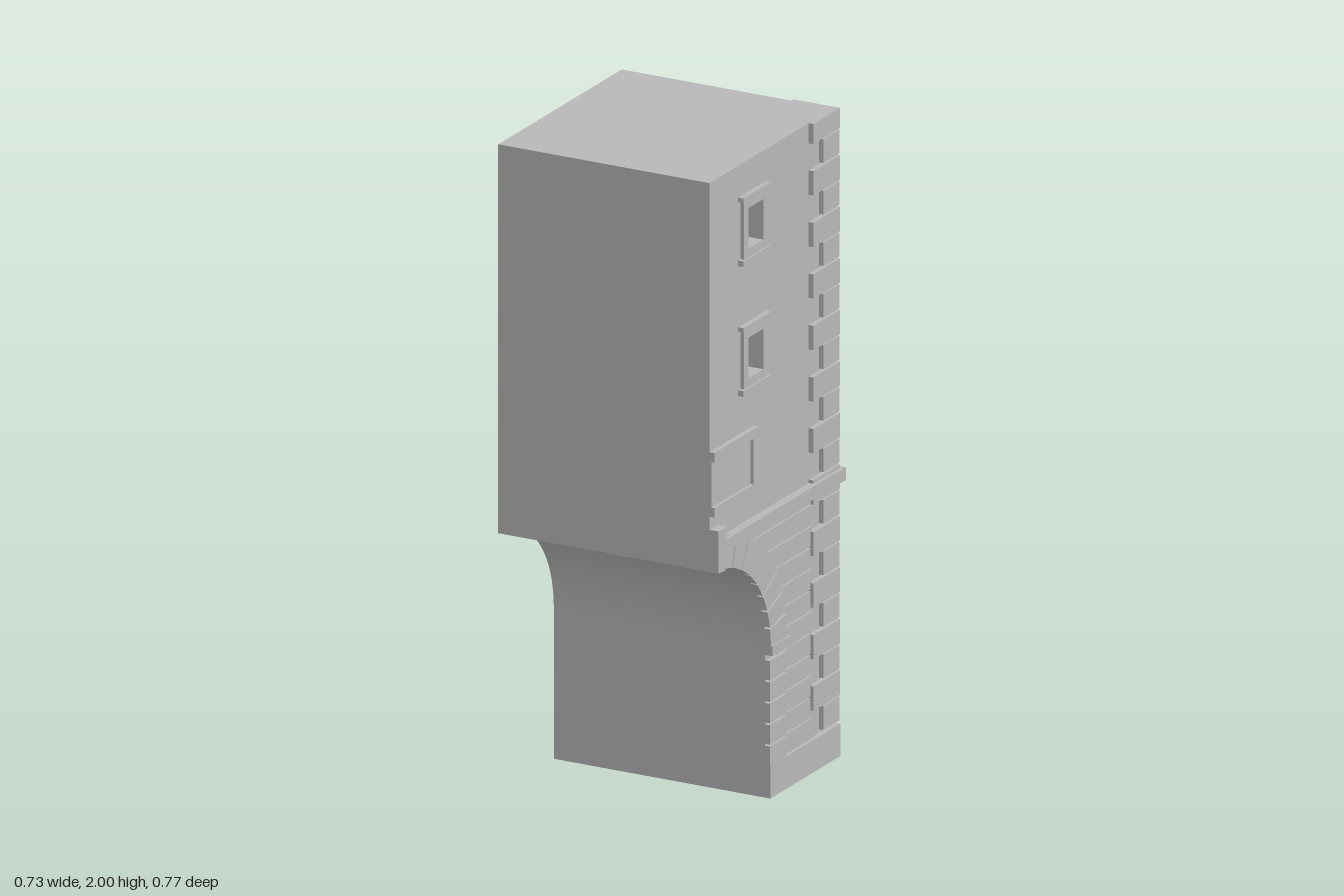
import * as THREE from 'three';

const LEFT = -0.367, WALL = 0.335, BACK = -0.36, FRONT = 0.385, DEEP = 0.05;
const FACE = 0.351, ARCH_Y = 0.465, ARCH_R = 0.335, OUT_R = 0.435, PIER = 0.05;

export function createModel() {
  const root = new THREE.Group();
  const stone = new THREE.MeshStandardMaterial({ color: 0xb8b8b8 });
  stone.name = 'grey stone';

  const add = (geo, name, parent = root) => {
    const m = new THREE.Mesh(geo, stone);
    m.name = name;
    parent.add(m);
    return m;
  };
  // box given by its limits on each axis
  const box = (name, x0, x1, y0, y1, z0, z1, parent) => {
    const m = add(new THREE.BoxGeometry(x1 - x0, y1 - y0, z1 - z0), name, parent);
    m.position.set((x0 + x1) / 2, (y0 + y1) / 2, (z0 + z1) / 2);
    return m;
  };
  // shape drawn in (-z, y), extruded along x
  const sideExtrude = (name, shape, x0, x1) => {
    const geo = new THREE.ExtrudeGeometry(shape, { depth: x1 - x0, bevelEnabled: false, curveSegments: 32 });
    geo.rotateY(Math.PI / 2);
    geo.translate(x0, 0, 0);
    return add(geo, name);
  };

  // body outline with the quarter arch cut out of its lower front
  const outline = (back) => {
    const s = new THREE.Shape();
    s.moveTo(-PIER, 0);
    s.lineTo(-back, 0);
    s.lineTo(-back, 2);
    s.lineTo(-FRONT, 2);
    s.lineTo(-FRONT, ARCH_Y + ARCH_R);
    s.absarc(-FRONT, ARCH_Y, ARCH_R, Math.PI / 2, 0, true);
    s.lineTo(-PIER, 0);
    return s;
  };
  const windowBases = [1.29, 1.69];
  const windowZ = 0.13, halfW = 0.045, openLow = 0.045, openHigh = 0.17;

  sideExtrude('core', outline(BACK + DEEP), LEFT, WALL - DEEP);

  // right wall with two window openings
  const rightShape = outline(BACK);
  for (const b of windowBases) {
    const h = new THREE.Path();
    h.moveTo(-windowZ - halfW, b + openLow);
    h.lineTo(-windowZ - halfW, b + openHigh);
    h.lineTo(-windowZ + halfW, b + openHigh);
    h.lineTo(-windowZ + halfW, b + openLow);
    h.closePath();
    rightShape.holes.push(h);
  }
  sideExtrude('rightWall', rightShape, WALL - DEEP, WALL);

  // back wall with half openings at the cut edge
  const backShape = new THREE.Shape();
  backShape.moveTo(LEFT, 0);
  backShape.lineTo(WALL - DEEP, 0);
  backShape.lineTo(WALL - DEEP, 2);
  backShape.lineTo(LEFT, 2);
  for (const b of [...windowBases].reverse()) {
    backShape.lineTo(LEFT, b + openHigh);
    backShape.lineTo(LEFT + halfW, b + openHigh);
    backShape.lineTo(LEFT + halfW, b + openLow);
    backShape.lineTo(LEFT, b + openLow);
  }
  backShape.closePath();
  const backWall = add(new THREE.ExtrudeGeometry(backShape, { depth: DEEP, bevelEnabled: false }), 'backWall');
  backWall.position.z = BACK;

  // window surrounds, whole on the right wall and halved on the back wall
  const surround = (b, half) => {
    const g = new THREE.Group();
    g.name = 'windowSurround';
    const end = (w) => (half ? 0 : w);
    box('lintel', -0.07, end(0.07), b + openHigh, b + 0.198, 0, 0.013, g);
    box('apron', -0.07, end(0.07), b + 0.018, b + openLow, 0, 0.013, g);
    box('cornice', -0.083, end(0.083), b + 0.198, b + 0.212, 0, 0.018, g);
    box('sill', -0.083, end(0.083), b, b + 0.018, 0, 0.018, g);
    box('jamb', -0.07, -halfW, b + openLow, b + openHigh, 0, 0.013, g);
    if (!half) box('jamb', halfW, 0.07, b + openLow, b + openHigh, 0, 0.013, g);
    root.add(g);
    return g;
  };
  for (const b of windowBases) {
    const r = surround(b, false);
    r.rotation.y = Math.PI / 2;
    r.position.set(WALL, 0, windowZ);
    const k = surround(b, true);
    k.rotation.y = Math.PI;
    k.position.set(LEFT, 0, BACK);
  }

  // corner quoins, alternately long and short
  for (let i = 0; i < 12; i++) {
    const y = 1.938 - 0.159 * i;
    box('longQuoin', 0.195, FACE, y, Math.min(2, y + 0.075), -0.373, -0.212);
    box('shortQuoin', 0.255, FACE - 0.001, y - 0.078, y - 0.005, -0.372, -0.275);
  }

  // plinth and string course
  box('plinth', LEFT, FACE + 0.001, 0, 0.1, -0.374, PIER);
  box('stringCourse', LEFT, 0.363, 0.85, 0.89, -FRONT, BACK + 0.01);
  box('stringCourse', WALL - 0.01, 0.363, 0.85, 0.89, -FRONT, 0.34);

  // pier blocks and impost
  for (let i = 0; i < 5; i++) {
    box('pierBlock', WALL - 0.01, FACE, 0.1 + 0.066 * i, 0.16 + 0.066 * i, -PIER, PIER);
  }
  box('impost', WALL - 0.01, 0.359, 0.44, 0.47, -0.064, PIER);

  // shallow wall courses behind the arch ring
  for (let y = 0.1; y < 0.83; y += 0.066) {
    const rise = Math.max(0, y + 0.03 - ARCH_Y);
    const z = FRONT - Math.sqrt(0.4 * 0.4 - rise * rise);
    box('wallCourse', WALL - 0.01, 0.341, y, y + 0.061, -0.22, z);
  }

  // arch stones
  const count = 8, step = (Math.PI / 2 - 0.13) / count;
  for (let i = 0; i < count; i++) {
    const a0 = i * step + 0.012, a1 = (i + 1) * step - 0.006;
    const s = new THREE.Shape();
    s.absarc(-FRONT, ARCH_Y, OUT_R, a0, a1, false);
    s.absarc(-FRONT, ARCH_Y, ARCH_R, a1, a0, true);
    s.closePath();
    sideExtrude('archStone', s, WALL - 0.01, FACE + 0.003);
  }
  const key = new THREE.Shape([
    [-FRONT, 0.8], [-0.343, 0.797], [-0.335, 0.93], [-FRONT, 0.93],
  ].map(([u, v]) => new THREE.Vector2(u, v)));
  sideExtrude('keystone', key, WALL - 0.01, 0.365);

  // framed panel above the arch, open at the cut edge
  box('panelFrame', WALL, FACE, 0.97, 1.0, 0.12, FRONT);
  box('panelFrame', WALL, FACE, 1.14, 1.17, 0.12, FRONT);
  box('panelFrame', WALL, FACE, 1.0, 1.14, 0.12, 0.15);
  box('panelField', WALL, 0.341, 1.0, 1.14, 0.15, FRONT);

  return root;
}
